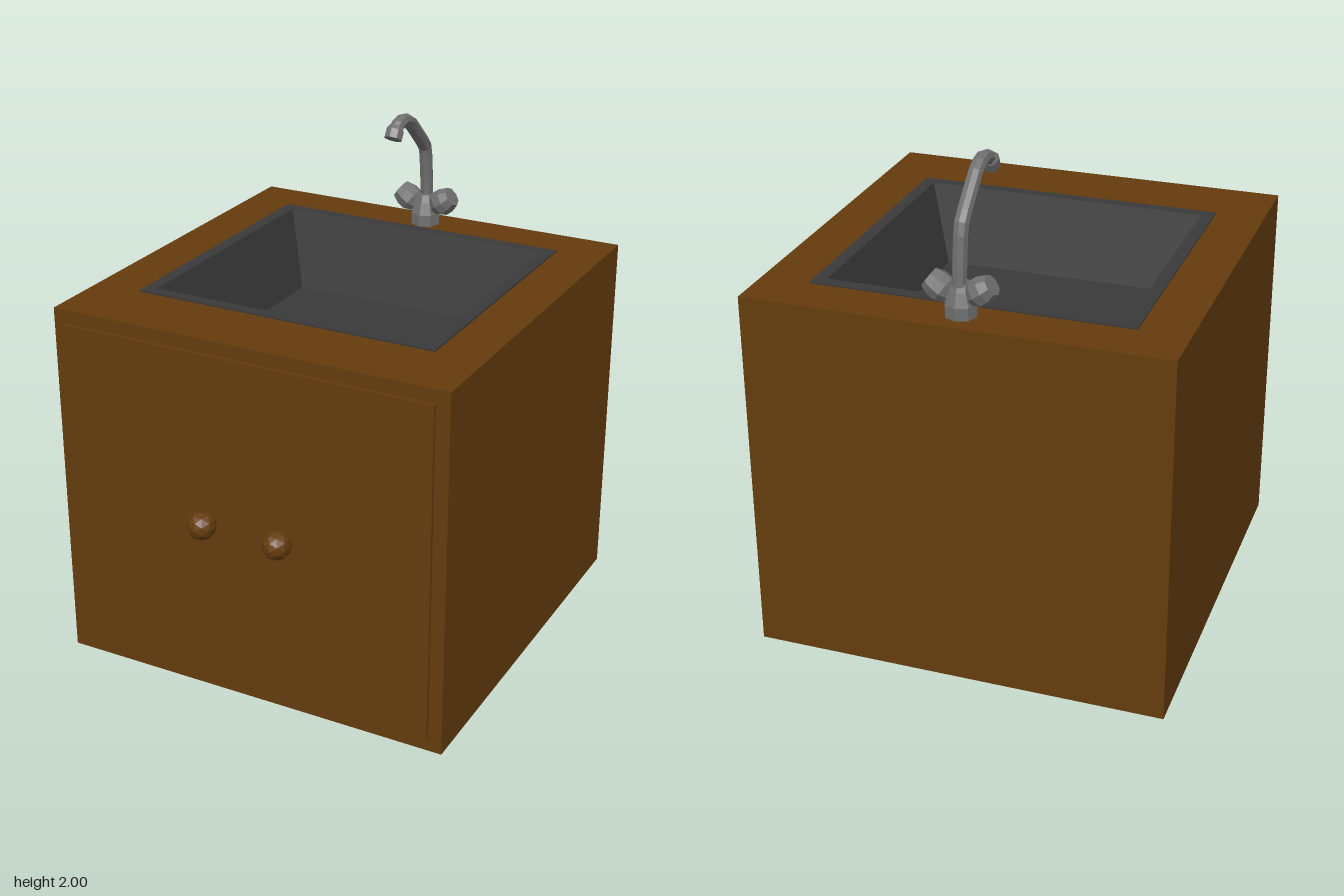
import * as THREE from 'three';

const flat = (name, color) => new THREE.MeshStandardMaterial({ name, color, flatShading: true });

export function createModel() {
  const wood = flat('brown wood', 0x643c0d);
  const basinGrey = flat('dark basin grey', 0x393939);
  const metal = flat('tap grey', 0x707070);
  const model = new THREE.Group();
  model.name = 'sinkCabinet';

  const add = (name, geometry, material, parent = model) => {
    const mesh = new THREE.Mesh(geometry, material);
    mesh.name = name;
    parent.add(mesh);
    return mesh;
  };

  // Cabinet: a box without its top face
  const W = 0.815, H = 1.47, back = -0.87, front = 0.76;
  const box = new THREE.BoxGeometry(2 * W, H, front - back);
  box.setIndex([...box.index.array].filter((_, i) => i < 12 || i >= 18));
  box.clearGroups();
  box.translate(0, H / 2, (front + back) / 2);
  add('cabinet', box, wood);

  // Worktop with an opening for the basin
  const rect = (C, x, z0, z1) => new C([[-x, -z1], [x, -z1], [x, -z0], [-x, -z0]]
    .map(([a, b]) => new THREE.Vector2(a, b)));
  const topShape = rect(THREE.Shape, W, back, front);
  topShape.holes.push(rect(THREE.Path, 0.61, -0.665, 0.465));
  add('worktop', new THREE.ShapeGeometry(topShape).rotateX(-Math.PI / 2).translate(0, H, 0), wood);

  // Door panel and its two knobs
  add('doorPanel', new THREE.BoxGeometry(1.52, 1.36, 0.03), wood).position.set(0, 0.735, 0.76);
  for (const s of [-1, 1]) {
    add(s > 0 ? 'leftDoorKnob' : 'rightDoorKnob', new THREE.IcosahedronGeometry(0.056, 1), wood)
      .position.set(s * 0.16, 0.738, 0.815);
  }

  // Basin: rectangular loops [half width, back z, front z, y] from rim to floor
  const loops = [
    [0.622, -0.677, 0.475, 1.465], [0.622, -0.677, 0.475, 1.476],
    [0.572, -0.63, 0.428, 1.476], [0.483, -0.55, 0.353, 1.16],
  ];
  const points = [], index = [];
  loops.forEach(([x, z0, z1, y], k) => {
    points.push(-x, y, z1, x, y, z1, x, y, z0, -x, y, z0);
    if (k === 0) return;
    for (let i = 0; i < 4; i++) {
      const j = (i + 1) % 4, a = 4 * (k - 1), b = 4 * k;
      index.push(a + i, a + j, b + j, a + i, b + j, b + i);
    }
  });
  index.push(12, 13, 14, 12, 14, 15);
  const basin = new THREE.BufferGeometry();
  basin.setAttribute('position', new THREE.Float32BufferAttribute(points, 3));
  basin.setIndex(index);
  basin.computeVertexNormals();
  add('basin', basin, basinGrey);

  // Tap
  const tap = new THREE.Group();
  tap.name = 'tap';
  model.add(tap);
  const lathe = (profile, sides = 8) =>
    new THREE.LatheGeometry(profile.map(([r, y]) => new THREE.Vector2(r, y)), sides);
  const up = new THREE.Vector3(0, 1, 0);

  add('tapBody', lathe([[0.062, 0], [0.062, 0.05], [0.045, 0.1], [0.032, 0.13], [0, 0.13]]), metal, tap)
    .position.set(0, 1.468, -0.755);

  // Angled valve handles
  for (const s of [-1, 1]) {
    const handle = add(s > 0 ? 'leftHandle' : 'rightHandle',
      lathe([[0.036, 0], [0.036, 0.05], [0.054, 0.078], [0.054, 0.112], [0.042, 0.146], [0, 0.146]]), metal, tap);
    handle.position.set(0, 1.515, -0.757);
    handle.quaternion.setFromUnitVectors(up, new THREE.Vector3(s * 0.81, 0.59, 0).normalize());
  }

  // Bent spout
  const path = new THREE.CatmullRomCurve3(
    [[1.53, -0.767], [1.65, -0.76], [1.79, -0.743], [1.825, -0.722], [1.95, -0.585], [1.971, -0.53],
      [1.968, -0.485], [1.94, -0.447]].map(([y, z]) => new THREE.Vector3(0, y, z)), false, 'catmullrom', 0.2);
  add('spout', new THREE.TubeGeometry(path, 16, 0.028, 8), metal, tap);

  // Nozzle at the spout's end
  const nozzle = add('nozzle',
    lathe([[0, -0.025], [0.037, -0.025], [0.037, 0.012], [0.026, 0.03], [0, 0.03]]), metal, tap);
  nozzle.position.set(0, 1.938, -0.448);
  nozzle.quaternion.setFromUnitVectors(up, new THREE.Vector3(0, 0.85, -0.53).normalize());

  return model;
}
